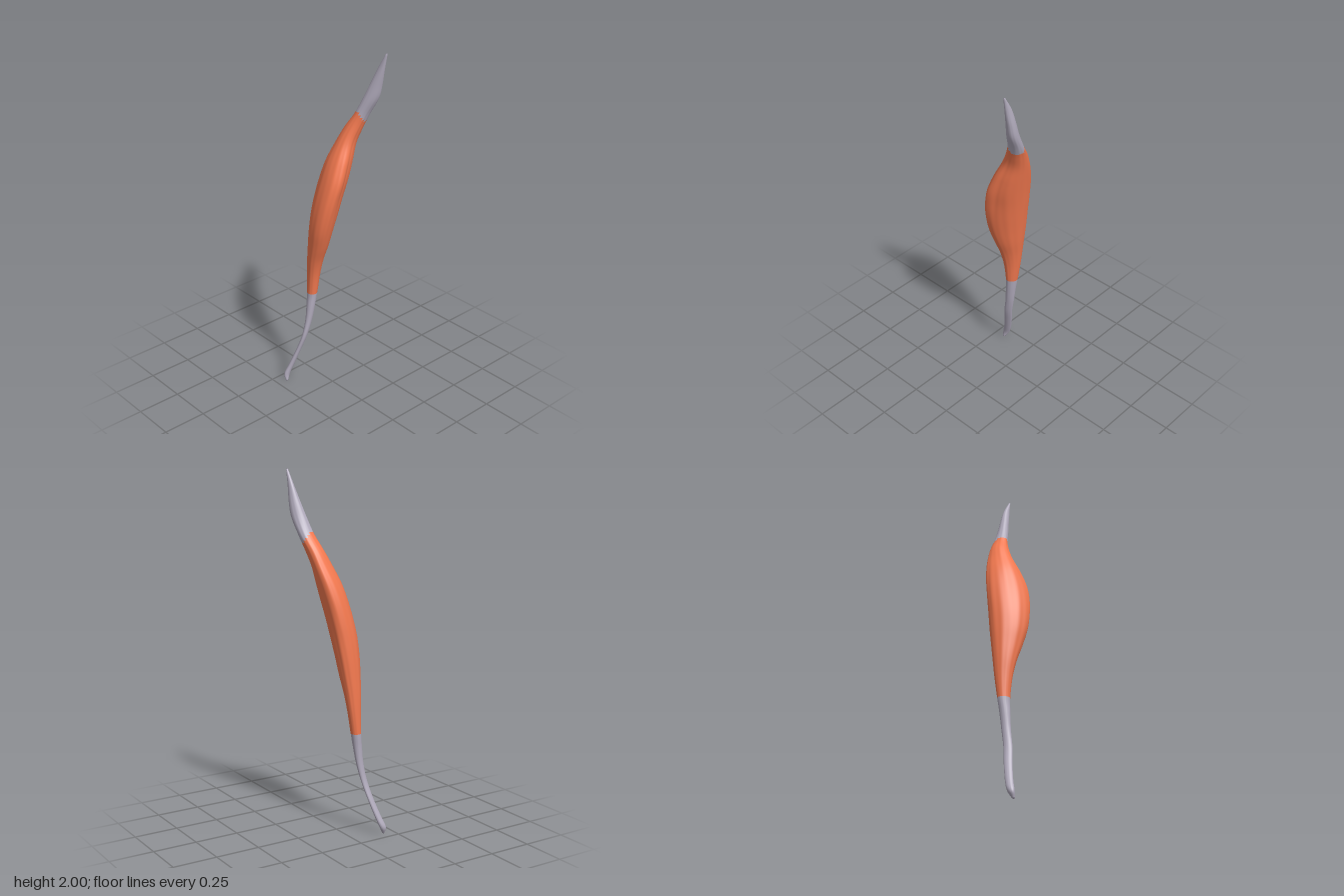
import * as THREE from 'three';

// Cross-sections from bottom to top: y, xMin, xMax, zMin, zMax, skew
const SECTIONS = [
  [0.00, -0.197, -0.182, 0.183, 0.196, 0],
  [0.04, -0.213, -0.182, 0.160, 0.199, 0.1],
  [0.10, -0.200, -0.168, 0.136, 0.177, 0.25],
  [0.20, -0.172, -0.140, 0.105, 0.146, 0.4],
  [0.30, -0.146, -0.112, 0.079, 0.122, 0.4],
  [0.40, -0.138, -0.097, 0.055, 0.102, 0.25],
  [0.50, -0.139, -0.086, 0.038, 0.092, 0.15],
  [0.58, -0.144, -0.078, 0.025, 0.086, 0.15],
  [0.70, -0.147, -0.062, 0.006, 0.090, 0.25],
  [0.80, -0.147, -0.036, -0.010, 0.100, 0.3],
  [0.90, -0.145, 0.004, -0.028, 0.111, 0.35],
  [1.00, -0.142, 0.039, -0.045, 0.120, 0.4],
  [1.10, -0.136, 0.067, -0.062, 0.116, 0.4],
  [1.20, -0.126, 0.089, -0.080, 0.100, 0.4],
  [1.30, -0.108, 0.103, -0.098, 0.072, 0.35],
  [1.40, -0.080, 0.095, -0.118, 0.032, 0.25],
  [1.50, -0.042, 0.079, -0.140, -0.020, 0.2],
  [1.58, -0.007, 0.090, -0.159, -0.060, 0.1],
  [1.66, 0.042, 0.115, -0.181, -0.095, -0.05],
  [1.75, 0.084, 0.157, -0.196, -0.121, -0.25],
  [1.83, 0.116, 0.176, -0.198, -0.141, -0.2],
  [1.92, 0.153, 0.194, -0.192, -0.162, 0],
  [2.00, 0.200, 0.209, -0.186, -0.175, 0],
];
const SIDES = 72;
const STEPS = 6; // rings between neighbouring sections
const RINGS = (SECTIONS.length - 1) * STEPS;

// Hollow and swellings along the belly: angle, width, amount, height, length
const RELIEF = [
  [-0.2, 0.4, -0.17, 1.3, 0.2],
  [-0.8, 0.5, 0.12, 1.58, 0.09],
  [Math.PI + 0.75, 0.55, 0.16, 1.45, 0.18],
];

// Smooth loft through the sections, with relief and fine fibres on the belly
function buildSurface() {
  const curve = (f) => new THREE.CatmullRomCurve3(SECTIONS.map(f), false, 'catmullrom', 0.5);
  const low = curve((s) => new THREE.Vector3(s[1], s[0], s[3]));
  const high = curve((s) => new THREE.Vector3(s[2], s[0], s[4]));
  const skew = curve((s) => new THREE.Vector3(s[5], s[0], 0));
  const pos = [];
  for (let i = 0; i <= RINGS; i++) {
    const t = i / RINGS;
    const a = low.getPoint(t), b = high.getPoint(t);
    // The skew is shared between both axes so that angles stay true
    const phi = Math.asin(skew.getPoint(t).x) / 2;
    const belly = THREE.MathUtils.smoothstep(a.y, 0.4, 0.9) * (1 - THREE.MathUtils.smoothstep(a.y, 1.5, 1.9));
    for (let j = 0; j < SIDES; j++) {
      const ang = (j / SIDES) * Math.PI * 2;
      let r = 1 + (0.004 + 0.004 * belly) * (Math.sin(ang * 9 + a.y * 3) + Math.sin(ang * 14 - a.y * 5));
      for (const [centre, width, amount, height, length] of RELIEF) {
        const off = Math.atan2(Math.sin(ang - centre), Math.cos(ang - centre));
        r += amount * Math.exp(-((off / width) ** 2) - ((a.y - height) / length) ** 2);
      }
      pos.push(
        (a.x + b.x) / 2 + ((b.x - a.x) / 2) * r * Math.cos(ang - phi),
        a.y,
        (a.z + b.z) / 2 + ((b.z - a.z) / 2) * r * Math.sin(ang + phi),
      );
    }
  }
  // Centre points closing both ends
  for (const p of [0, 1]) {
    const c = low.getPoint(p).add(high.getPoint(p)).multiplyScalar(0.5);
    pos.push(c.x, c.y, c.z);
  }
  const geo = new THREE.BufferGeometry();
  geo.setAttribute('position', new THREE.Float32BufferAttribute(pos, 3));
  geo.setIndex(facesBetween(() => 0, () => RINGS));
  geo.computeVertexNormals();
  return geo;
}

// Triangles between two borders, each giving a ring for every side, with end caps
function facesBetween(from, to) {
  const idx = [];
  const bottom = (RINGS + 1) * SIDES;
  for (let j = 0; j < SIDES; j++) {
    const k = (j + 1) % SIDES;
    for (let i = from(j); i < to(j); i++) {
      const p = i * SIDES, q = p + SIDES;
      idx.push(p + j, q + j, p + k, q + j, q + k, p + k);
    }
    if (from(j) === 0) idx.push(bottom, j, k);
    if (to(j) === RINGS) idx.push(bottom + 1, RINGS * SIDES + k, RINGS * SIDES + j);
  }
  return idx;
}

export function createModel() {
  const group = new THREE.Group();
  group.name = 'muscle';
  const surface = buildSurface();
  const ringAt = (y) => SECTIONS.findIndex((s) => s[0] === y) * STEPS;
  const tendon = new THREE.MeshStandardMaterial({ color: 0xb3adbe });
  const flesh = new THREE.MeshStandardMaterial({ color: 0xf57a50 });

  // Borders of the parts; the upper one dips towards the back
  const start = () => 0;
  const lowerBorder = () => ringAt(0.58);
  const upperBorder = (j) => ringAt(1.66) - 1 + Math.round(2.4 * Math.sin((j / SIDES) * Math.PI * 2 - 0.6));
  const end = () => RINGS;

  // Each part takes its own band of the shared surface, so the shading runs on
  const addPart = (name, from, to, material) => {
    const geo = surface.clone();
    geo.setIndex(facesBetween(from, to));
    const mesh = new THREE.Mesh(geo.toNonIndexed(), material);
    mesh.name = name;
    group.add(mesh);
  };
  addPart('lowerTendon', start, lowerBorder, tendon);
  addPart('muscleBelly', lowerBorder, upperBorder, flesh);
  addPart('upperTendon', upperBorder, end, tendon);
  return group;
}
